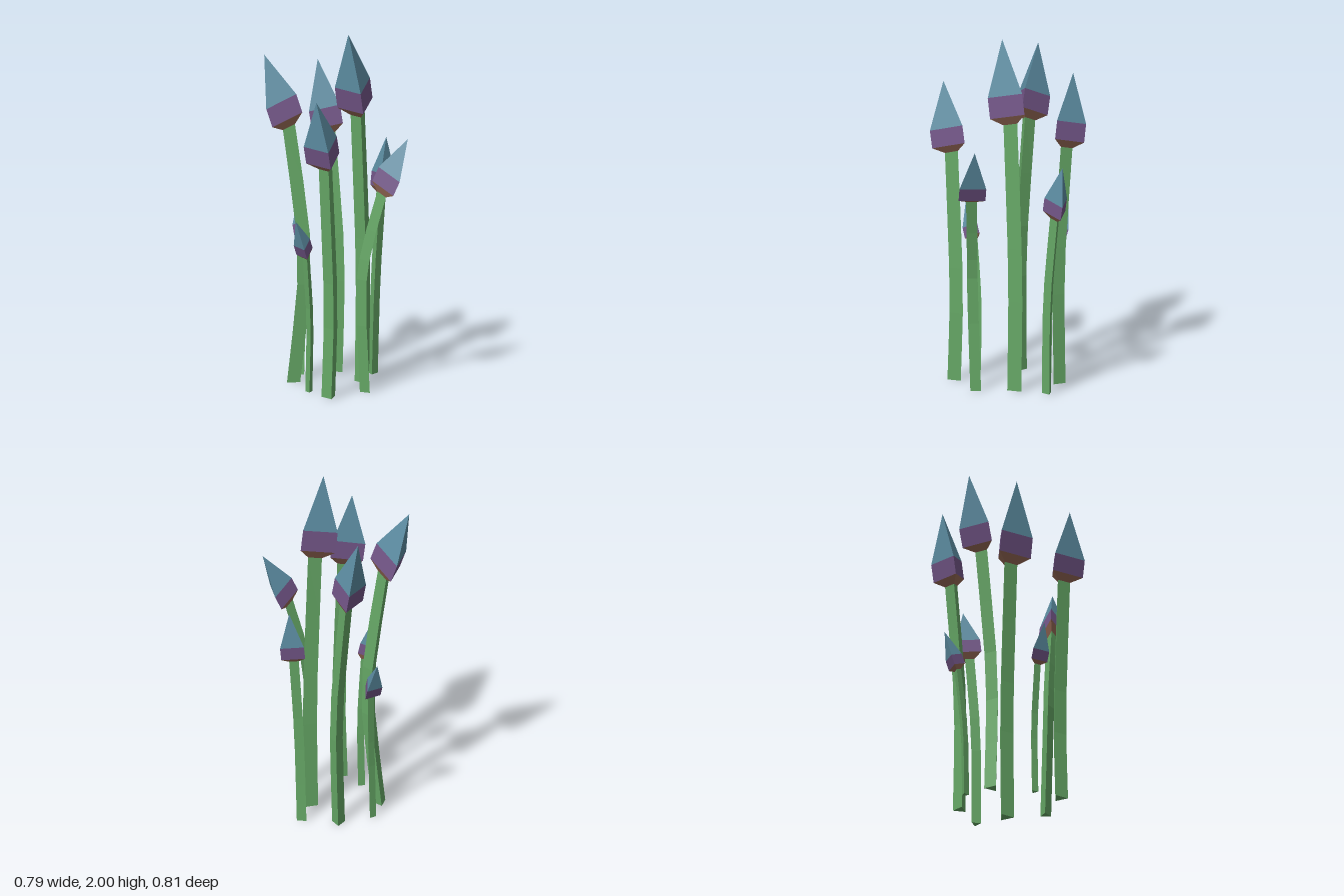
import * as THREE from 'three';

const flat = (name, color) => {
  const m = new THREE.MeshStandardMaterial({ color, flatShading: true });
  m.name = name;
  return m;
};

// Skin over three-sided rings { c: centre, r: radius, n: normal }; radius 0 makes a point
function loft(rings, turn) {
  const up = new THREE.Vector3(0, 1, 0);
  const corners = rings.map(({ c, r, n }) => {
    const q = new THREE.Quaternion().setFromUnitVectors(up, n);
    return [0, 1, 2].map((i) => {
      const a = turn + (i * Math.PI * 2) / 3;
      return new THREE.Vector3(Math.cos(a) * r, 0, Math.sin(a) * r).applyQuaternion(q).add(c);
    });
  });
  const pts = [];
  for (let k = 0; k < rings.length - 1; k++) {
    for (let i = 0; i < 3; i++) {
      const j = (i + 1) % 3;
      const a = corners[k][i], b = corners[k][j], c = corners[k + 1][j], d = corners[k + 1][i];
      if (rings[k + 1].r > 0) pts.push(a, d, c);
      if (rings[k].r > 0) pts.push(a, c, b);
    }
  }
  const g = new THREE.BufferGeometry().setFromPoints(pts);
  g.computeVertexNormals();
  return g;
}

// path: stem points from the ground to the bud; tip: point of the bud;
// r: bud radius; deg: turn of the triangular section about y
const STALKS = [
  { path: [[0.082, 0, 0.05], [0.09, 0.65, 0.05], [0.05, 1.53, 0.05]], tip: [-0.03, 2, 0.05], r: 0.118, deg: 0 },
  { path: [[-0.29, 0, 0.165], [-0.272, 0.5, 0.165], [-0.312, 1.31, 0.165]], tip: [-0.39, 1.7, 0.165], r: 0.112, deg: 0 },
  { path: [[-0.195, 0, -0.22], [-0.15, 0.7, -0.18], [-0.18, 1.44, -0.27]], tip: [-0.24, 1.84, -0.4], r: 0.108, deg: -57 },
  { path: [[0.137, 0, -0.215], [0.142, 0.65, -0.205], [0.135, 1.35, -0.268]], tip: [0.117, 1.76, -0.343], r: 0.102, deg: -41 },
  { path: [[-0.045, 0, -0.3], [-0.032, 0.4, -0.3], [-0.002, 0.77, -0.322]], tip: [0.016, 0.99, -0.395], r: 0.057, deg: -15 },
  { path: [[0.245, 0, -0.04], [0.262, 0.55, -0.035], [0.31, 1.02, -0.042]], tip: [0.36, 1.325, -0.05], r: 0.077, deg: 22 },
  { path: [[-0.06, 0, 0.22], [-0.088, 0.6, 0.22], [-0.07, 0.8, 0.237], [-0.008, 1.13, 0.297]], tip: [0.11, 1.44, 0.376], r: 0.086, deg: -23 },
  { path: [[-0.285, 0, 0], [-0.277, 0.4, 0], [-0.307, 0.77, 0.002]], tip: [-0.388, 0.99, 0], r: 0.056, deg: 8 },
];

export function createModel() {
  const green = flat('stem green', 0x66a866);
  const brown = flat('bud base brown', 0x9a6c58);
  const purple = flat('bud band purple', 0x735688);
  const blue = flat('bud tip blue', 0x5b8ba0);
  const model = new THREE.Group();
  model.name = 'budStalks';

  for (const { path, tip, r, deg } of STALKS) {
    const turn = THREE.MathUtils.degToRad(deg);
    const curve = new THREE.CatmullRomCurve3(path.map((p) => new THREE.Vector3(...p)));
    const top = new THREE.Vector3(...path[path.length - 1]);
    const end = new THREE.Vector3(...tip);
    const stemR = r * 0.4;

    // bud sections lean with the bud
    const lean = end.clone().sub(top);
    const n = new THREE.Vector3(lean.x * 1.5, lean.y, lean.z * 1.5).normalize();
    const ring = (f, radius) => ({ c: top.clone().lerp(end, f), r: radius, n });

    // stem with closed foot
    const up = new THREE.Vector3(0, 1, 0);
    const rings = [{ c: curve.getPoint(0), r: 0, n: up }];
    const steps = 5;
    for (let i = 0; i <= steps; i++) {
      const c = curve.getPoint(i / steps);
      rings.push({ c, r: stemR, n: i === 0 ? up : i === steps ? n : curve.getTangent(i / steps) });
    }

    const stalk = new THREE.Group();
    stalk.name = 'stalk';
    const add = (name, sections, material) => {
      const mesh = new THREE.Mesh(loft(sections, turn), material);
      mesh.name = name;
      stalk.add(mesh);
    };
    add('stem', rings, green);
    add('budBase', [ring(0, stemR), ring(0.1, r)], brown);
    add('budBand', [ring(0.1, r), ring(0.35, r)], purple);
    add('budTip', [ring(0.35, r), ring(1, 0)], blue);
    model.add(stalk);
  }
  return model;
}
